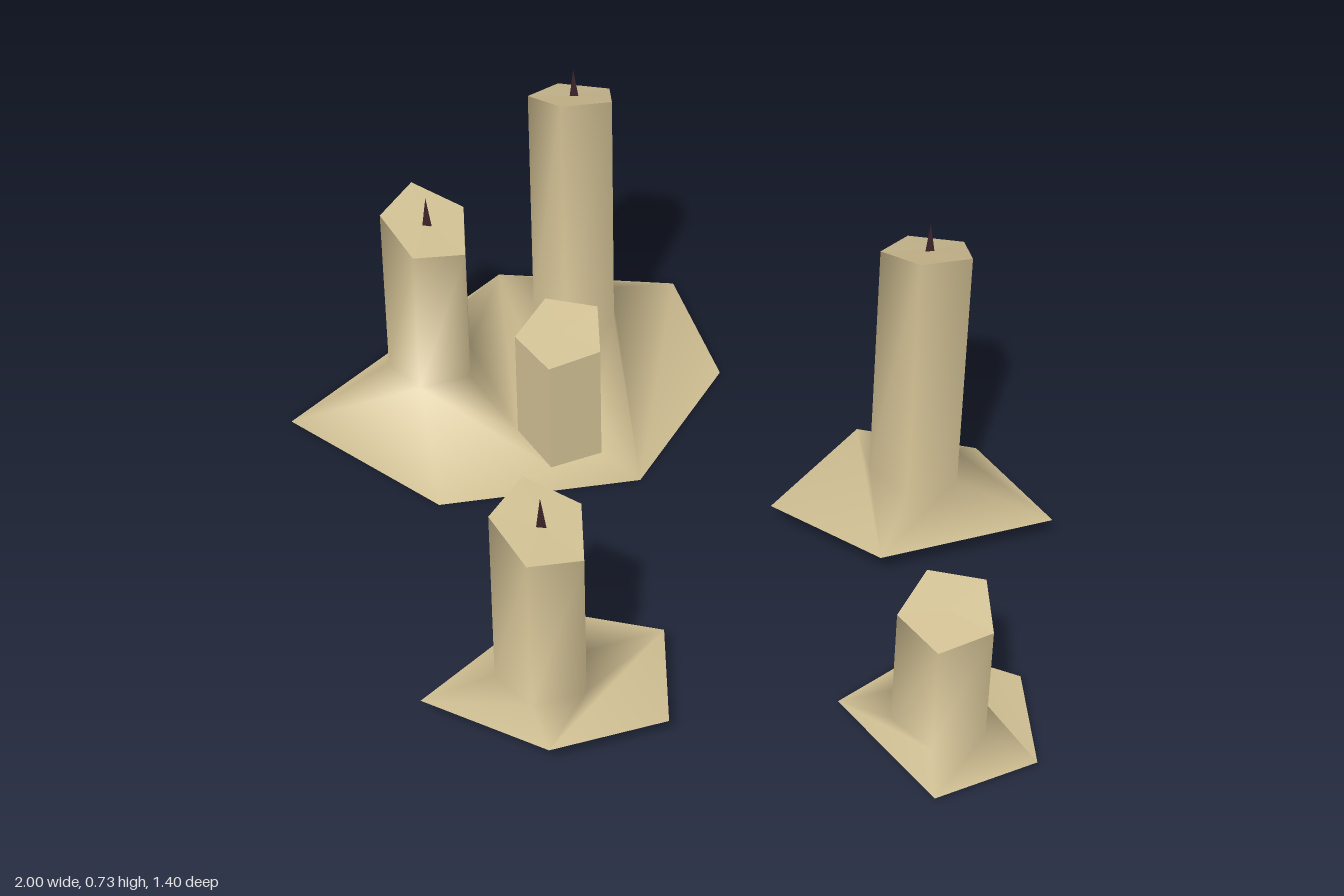
import * as THREE from 'three';

const wax = new THREE.MeshStandardMaterial({ color: 0xcfbe92, side: THREE.DoubleSide });
wax.name = 'wax';
const charred = new THREE.MeshStandardMaterial({ color: 0x3a2228 });
charred.name = 'charredWick';

const RADIUS = 0.1;
const SIDES = 5;

// Rim heights of the three melted candle shapes, starting at the back corner
const RIMS = {
  tall: [0.645, 0.685, 0.7, 0.67, 0.64],
  medium: [0.475, 0.43, 0.45, 0.5, 0.52],
  short: [0.34, 0.305, 0.29, 0.31, 0.34],
};

// Each puddle: outline [x, z], edge height, and the candles standing in it
const PUDDLES = [
  {
    name: 'largePuddle', edge: 0.005,
    outline: [[-0.71, -0.645], [-0.375, -0.505], [-0.19, -0.12], [-0.4, 0.27], [-0.845, 0.35], [-1, -0.35]],
    candles: [
      { x: -0.68, z: -0.335, rim: 'tall', foot: 0.105, wick: true },
      { x: -0.718, z: 0.045, rim: 'medium', foot: 0.1, wick: true },
      // this one has no flare: its foot follows the slope of the puddle
      { x: -0.39, z: -0.065, rim: 'short', foot: [0.063, 0.029, 0.022, 0.054, 0.078], sharp: true },
    ],
  },
  {
    name: 'backPuddle', edge: 0.068,
    outline: [[0.25, -0.705], [0.53, -0.66], [0.39, -0.295], [0.115, -0.23], [0.035, -0.55]],
    candles: [{ x: 0.243, z: -0.53, rim: 'tall', foot: 0.105, wick: true }],
  },
  {
    name: 'sidePuddle', edge: 0.018,
    outline: [[0.8, -0.305], [1, -0.155], [0.945, 0.07], [0.62, 0.03], [0.62, -0.22]],
    candles: [{ x: 0.797, z: -0.085, rim: 'short', foot: 0.038 }],
  },
  {
    name: 'frontPuddle', edge: 0.05,
    outline: [[0.26, 0.185], [0.475, 0.35], [0.39, 0.585], [0.115, 0.695], [0.05, 0.34]],
    candles: [{ x: 0.243, z: 0.48, rim: 'medium', foot: 0.09, wick: true }],
  },
];

// Pentagon around a candle's axis; heights is one number or one per corner
function ring({ x, z }, heights) {
  return Array.from({ length: SIDES }, (_, i) => {
    const a = (i / SIDES) * Math.PI * 2;
    const y = Array.isArray(heights) ? heights[i] : heights;
    return new THREE.Vector3(x + RADIUS * Math.sin(a), y, z - RADIUS * Math.cos(a));
  });
}

function surface(points, index, flat) {
  let g = new THREE.BufferGeometry().setFromPoints(points);
  g.setIndex(index);
  if (flat) g = g.toNonIndexed();
  g.computeVertexNormals();
  return g;
}

// Triangles joining a lower ring to an upper ring
function wallIndex(low, high) {
  const index = [];
  for (let i = 0; i < SIDES; i++) {
    const j = (i + 1) % SIDES;
    index.push(low + j, low + i, high + i, low + j, high + i, high + j);
  }
  return index;
}

function addMesh(group, name, geometry, material) {
  const mesh = new THREE.Mesh(geometry, material);
  mesh.name = name;
  group.add(mesh);
}

function createPuddle({ name, edge, outline, candles }) {
  const group = new THREE.Group();
  group.name = name;

  // Puddle surface rising to the candle feet
  const border = outline.map(([x, z]) => new THREE.Vector3(x, edge, z));
  const feet = candles.map((c) => ring(c, c.foot));
  const flat = (pts) => pts.map((p) => new THREE.Vector2(p.x, -p.z));
  const contour = flat(border).reverse();
  const points = [...border.reverse(), ...feet.flat()];
  const index = THREE.ShapeUtils.triangulateShape(contour, feet.map(flat)).flat();

  candles.forEach((c, n) => {
    const rim = ring(c, RIMS[c.rim]);
    if (c.sharp) {
      addMesh(group, 'candleBody', surface([...feet[n], ...rim], wallIndex(0, SIDES), true), wax);
    } else {
      // walls share the foot corners, so they blend smoothly into the puddle
      index.push(...wallIndex(border.length + n * SIDES, points.length));
      points.push(...rim);
    }

    // Slanted top
    const centre = rim.reduce((s, p) => s.add(p), new THREE.Vector3()).divideScalar(SIDES);
    const fan = rim.flatMap((_, i) => [SIDES, (i + 1) % SIDES, i]);
    addMesh(group, 'candleTop', surface([...rim, centre], fan, true), wax);

    // Wick
    if (c.wick) {
      const cone = new THREE.ConeGeometry(0.012, 0.07, 3).toNonIndexed();
      cone.computeVertexNormals();
      cone.translate(c.x, centre.y + 0.031, c.z);
      addMesh(group, 'wick', cone, charred);
    }
  });

  addMesh(group, 'meltedWax', surface(points, index, false), wax);
  return group;
}

export function createModel() {
  const model = new THREE.Group();
  model.name = 'candles';
  PUDDLES.forEach((p) => model.add(createPuddle(p)));
  return model;
}
